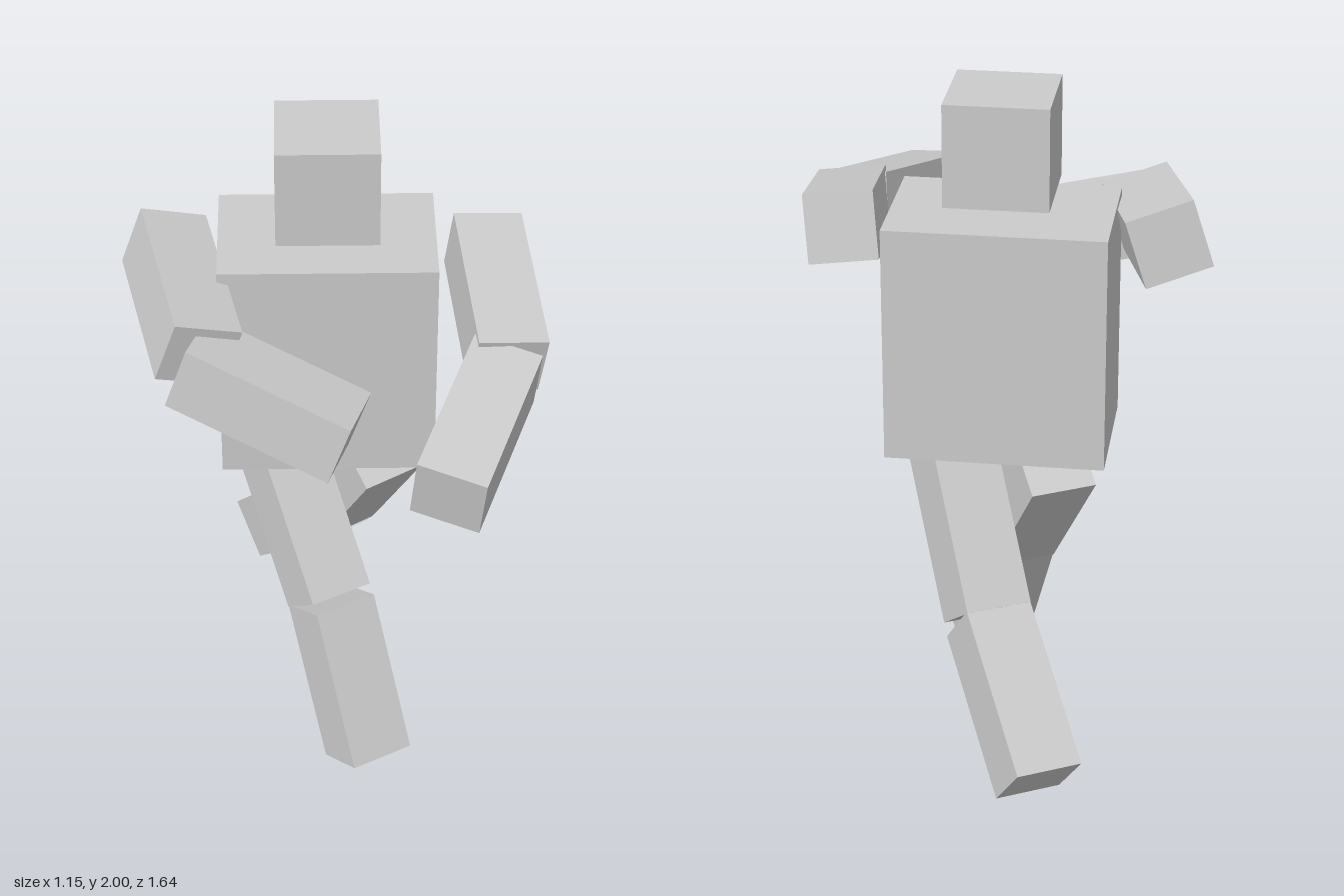
import * as THREE from 'three';

const material = new THREE.MeshStandardMaterial({ color: 0xcccccc, flatShading: true });

function block(name, size, center) {
  const mesh = new THREE.Mesh(new THREE.BoxGeometry(...size), material);
  mesh.name = name;
  mesh.position.set(...center);
  return mesh;
}

// Square bar running along a direction; "side" fixes its roll.
function limb(name, center, along, side) {
  const mesh = block(name, [0.197, 0.197, 0.497], center);
  const z = new THREE.Vector3(...along).normalize();
  const x = new THREE.Vector3().crossVectors(new THREE.Vector3(...side), z).normalize();
  const y = new THREE.Vector3().crossVectors(z, x);
  mesh.quaternion.setFromRotationMatrix(new THREE.Matrix4().makeBasis(x, y, z));
  return mesh;
}

export function createModel() {
  const model = new THREE.Group();
  model.name = 'walkingFigure';

  // Torso and head, turned together
  const torso = block('torso', [0.622, 0.69, 0.413], [0.064, 1.308, -0.187]);
  const head = block('head', [0.293, 0.295, 0.293], [0.066, 1.8525, -0.188]);
  torso.rotation.y = head.rotation.y = THREE.MathUtils.degToRad(-31.7);
  model.add(torso, head);

  // Arms and legs: name, centre, direction of the bar, side direction
  const limbs = [
    ['rightUpperArm', [-0.378, 1.56, -0.258], [-0.32, -0.15, 0.935], [0.231, 0.945, 0.231]],
    ['rightForearm', [-0.333, 1.425, 0.135], [0.604, -0.32, 0.732], [0.235, 0.95, 0.2]],
    ['leftUpperArm', [0.37, 1.54, 0.217], [-0.424, -0.221, 0.872], [-0.02, 0.965, 0.235]],
    ['leftForearm', [0.064, 1.426, 0.57], [-0.774, -0.192, 0.589], [-0.06, 0.965, 0.235]],
    ['rightThigh', [-0.058, 0.699, -0.134], [-0.028, -0.782, 0.622], [1, 0, 0.045]],
    ['rightShin', [-0.068, 0.27, 0.142], [-0.02, -0.892, 0.451], [1, 0, 0.045]],
    ['leftThigh', [0.189, 0.695, -0.227], [0.032, -0.813, -0.582], [1, 0.04, 0]],
    ['leftShin', [0.204, 0.316, -0.569], [0.024, -0.655, -0.756], [1, 0.04, -0.01]],
  ];
  for (const spec of limbs) model.add(limb(...spec));

  return model;
}
